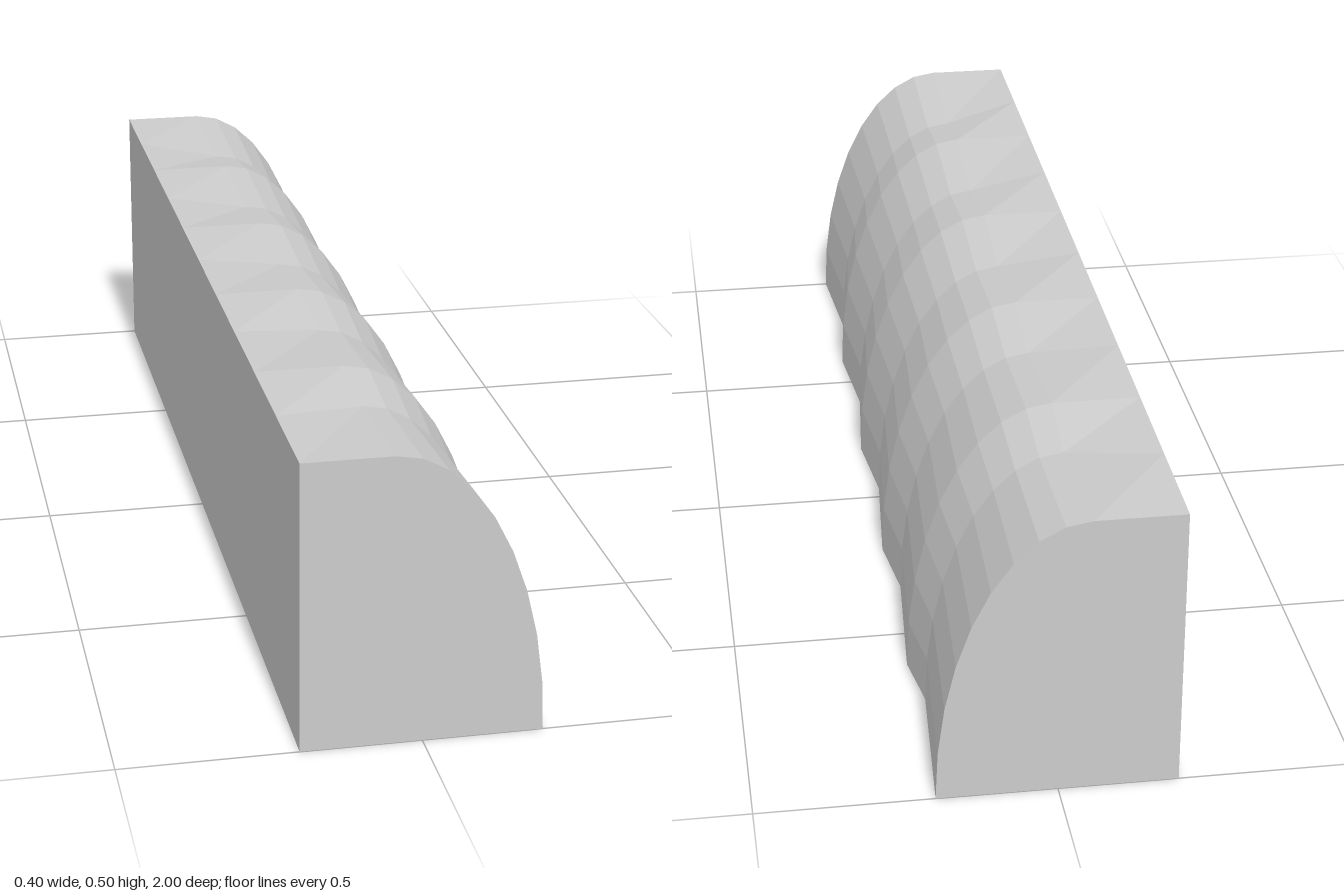
import * as THREE from 'three';

const HALF_W = 0.202, HEIGHT = 0.502, SHOULDER = -0.05;
const STEPS = 10;      // length divisions, every other ring is pinched
const ARC = 9;         // facets of the rounded side
const PINCH = 0.925;   // pull of the pinched rings towards the middle of the block

// One cross-section, anticlockwise seen from the front; the flat wall stays straight
function ring(i) {
  const z = -1 + (2 * i) / STEPS;
  const s = i % 2 ? PINCH : 1;
  const mid = HEIGHT / 2;
  const points = [[-HALF_W, 0, z]];
  for (let k = 0; k <= ARC; k++) {
    const a = (k / ARC) * Math.PI / 2;
    const x = SHOULDER + (HALF_W - SHOULDER) * Math.cos(a);
    const y = HEIGHT * Math.sin(a);
    points.push([x * s, mid + (y - mid) * s, z * s]);
  }
  points.push([-HALF_W, HEIGHT, z]);
  return points;
}

export function createModel() {
  const rings = Array.from({ length: STEPS + 1 }, (_, i) => ring(i));
  const n = rings[0].length;
  const position = rings.flat(2);
  const index = [];

  // Skin between neighbouring rings
  for (let i = 0; i < STEPS; i++) {
    for (let j = 0; j < n; j++) {
      const a = i * n + j, b = i * n + (j + 1) % n;
      index.push(a, b, b + n, a, b + n, a + n);
    }
  }
  // Flat end caps
  const last = STEPS * n;
  for (let j = 1; j < n - 1; j++) {
    index.push(0, j + 1, j, last, last + j, last + j + 1);
  }

  const indexed = new THREE.BufferGeometry();
  indexed.setAttribute('position', new THREE.Float32BufferAttribute(position, 3));
  indexed.setIndex(index);
  const geometry = indexed.toNonIndexed();
  geometry.computeVertexNormals();

  const block = new THREE.Mesh(
    geometry,
    new THREE.MeshStandardMaterial({ color: 0xcccccc, flatShading: true })
  );
  block.name = 'wavyRoundedBlock';

  const group = new THREE.Group();
  group.name = 'edgeBlock';
  group.add(block);
  return group;
}
